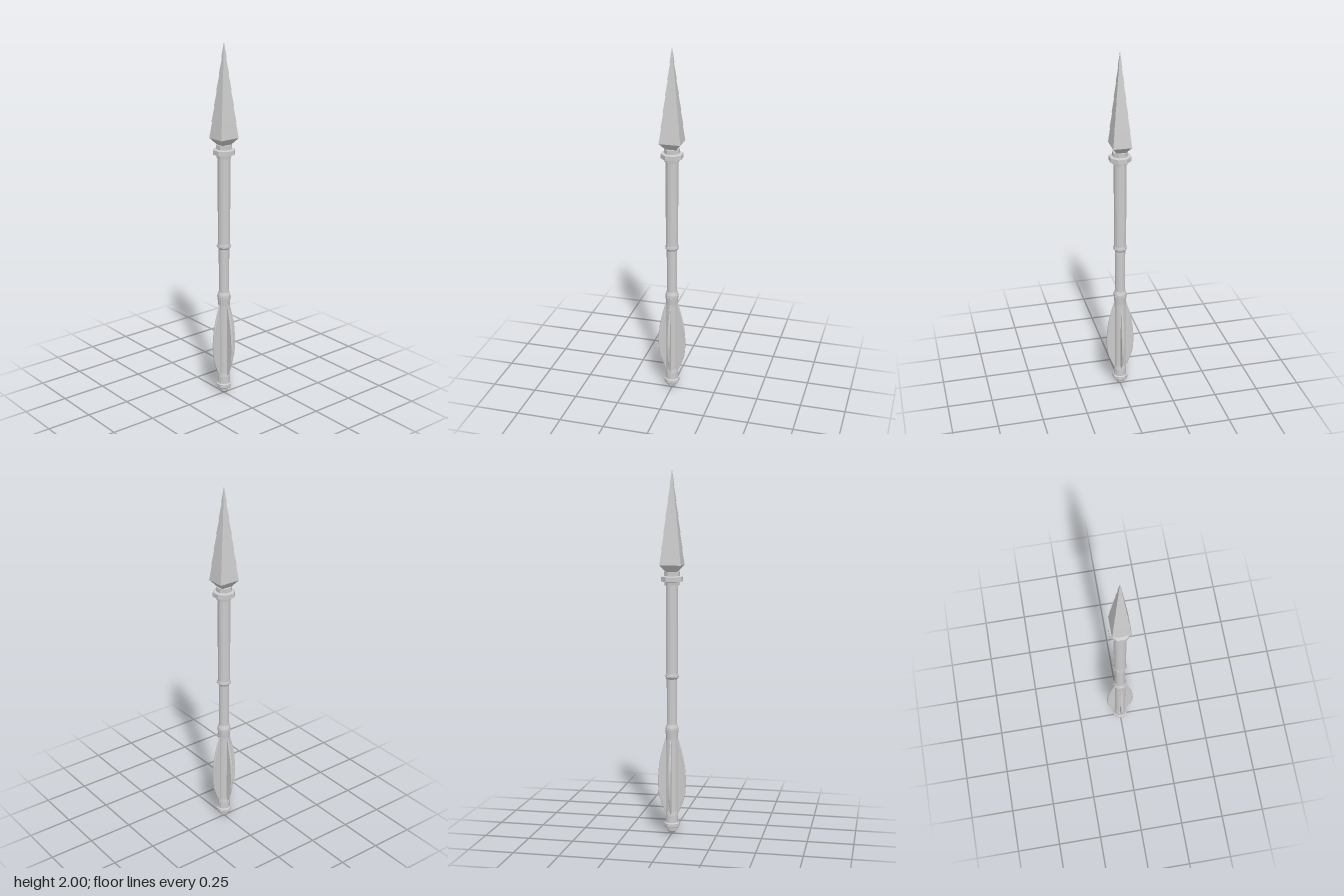
import * as THREE from 'three';

const flat = new THREE.MeshStandardMaterial({ color: 0xcccccc, flatShading: true });
const smooth = new THREE.MeshStandardMaterial({ color: 0xcccccc });

function add(parent, name, geometry, material = flat) {
  const mesh = new THREE.Mesh(geometry, material);
  mesh.name = name;
  parent.add(mesh);
  return mesh;
}

// Turned part from [radius, y] pairs, listed bottom to top
function turned(points, sides, start = 0) {
  return new THREE.LatheGeometry(points.map(([r, y]) => new THREE.Vector2(r, y)), sides, start);
}

export function createModel() {
  const model = new THREE.Group();
  model.name = 'spear';

  // Shaft sections
  add(model, 'grip', turned([[0, 0.06], [0.035, 0.06], [0.035, 0.11], [0.032, 0.13], [0.032, 0.54],
    [0.036, 0.58], [0.036, 0.6], [0.029, 0.62], [0.029, 0.64]], 16));
  add(model, 'middleShaft', new THREE.CylinderGeometry(0.029, 0.029, 0.28, 16, 1, true), smooth)
    .position.y = 0.75;
  add(model, 'upperShaft', turned([[0.029, 0.87], [0.036, 0.88], [0.036, 0.892], [0.034, 0.9],
    [0.034, 1.4]], 16));

  // Collar rings studded with beads
  for (const y of [0.59, 0.886]) {
    const ring = new THREE.Group();
    ring.name = 'beadedRing';
    ring.position.y = y;
    model.add(ring);
    for (let i = 0; i < 12; i++) {
      const a = (i / 12) * Math.PI * 2;
      add(ring, 'bead', new THREE.SphereGeometry(0.0045, 8, 6), smooth)
        .position.set(Math.sin(a) * 0.036, 0, Math.cos(a) * 0.036);
    }
  }

  // Octagonal guard and neck under the head
  const eighth = Math.PI / 8;
  add(model, 'guard', turned([[0, 1.382], [0.04, 1.382], [0.042, 1.4], [0.061, 1.403], [0.061, 1.428],
    [0.043, 1.432], [0.043, 1.455], [0, 1.455]], 8, eighth));
  add(model, 'neck', new THREE.CylinderGeometry(0.026, 0.026, 0.04, 12)).position.y = 1.462;

  // Four-sided head made of stacked, slightly overhanging tiers
  const base = 1.49, tip = 2, tiers = 6;
  const profile = [[0, 1.455], [0.5, 1.455], [1, base]];
  for (let i = 1; i < tiers; i++) {
    const t = i / tiers, y = base + (tip - base) * t;
    profile.push([1 - t - 0.025, y], [1 - t + 0.02, y]);
  }
  profile.push([0, tip]);
  const head = add(model, 'head', turned(profile, 4, Math.PI / 4));
  head.scale.set(0.051 * Math.SQRT2, 1, 0.059 * Math.SQRT2);

  // Four curved fins, thinning toward both ends
  const outline = new THREE.Shape();
  outline.moveTo(0.02, 0.12);
  outline.lineTo(0.034, 0.12);
  outline.splineThru([[0.05, 0.155], [0.069, 0.21], [0.0755, 0.27], [0.0755, 0.32], [0.068, 0.4],
    [0.052, 0.475], [0.034, 0.54]].map(([x, y]) => new THREE.Vector2(x, y)));
  outline.lineTo(0.02, 0.54);
  const fin = new THREE.ExtrudeGeometry(outline, {
    depth: 0.008, bevelThickness: 0.004, bevelSize: 0.003, bevelOffset: -0.001,
    bevelSegments: 1, curveSegments: 16,
  });
  fin.translate(0, 0, -0.004);
  const p = fin.attributes.position;
  for (let i = 0; i < p.count; i++) {
    const t = THREE.MathUtils.clamp((p.getY(i) - 0.12) / 0.42, 0, 1);
    p.setZ(i, p.getZ(i) * (0.4 + 0.6 * Math.sin(Math.PI * t)));
  }
  fin.computeVertexNormals();
  for (let i = 0; i < 4; i++) add(model, 'fin', fin).rotation.y = (i * Math.PI) / 2;

  // Pommel disc and end knob
  add(model, 'pommel', turned([[0, 0.038], [0.04, 0.038], [0.043, 0.044], [0.043, 0.062],
    [0.036, 0.068], [0, 0.068]], 8, eighth));
  add(model, 'knob', turned([[0, 0], [0.014, 0.003], [0.025, 0.018], [0.027, 0.03], [0.022, 0.042]], 8, eighth));

  return model;
}
